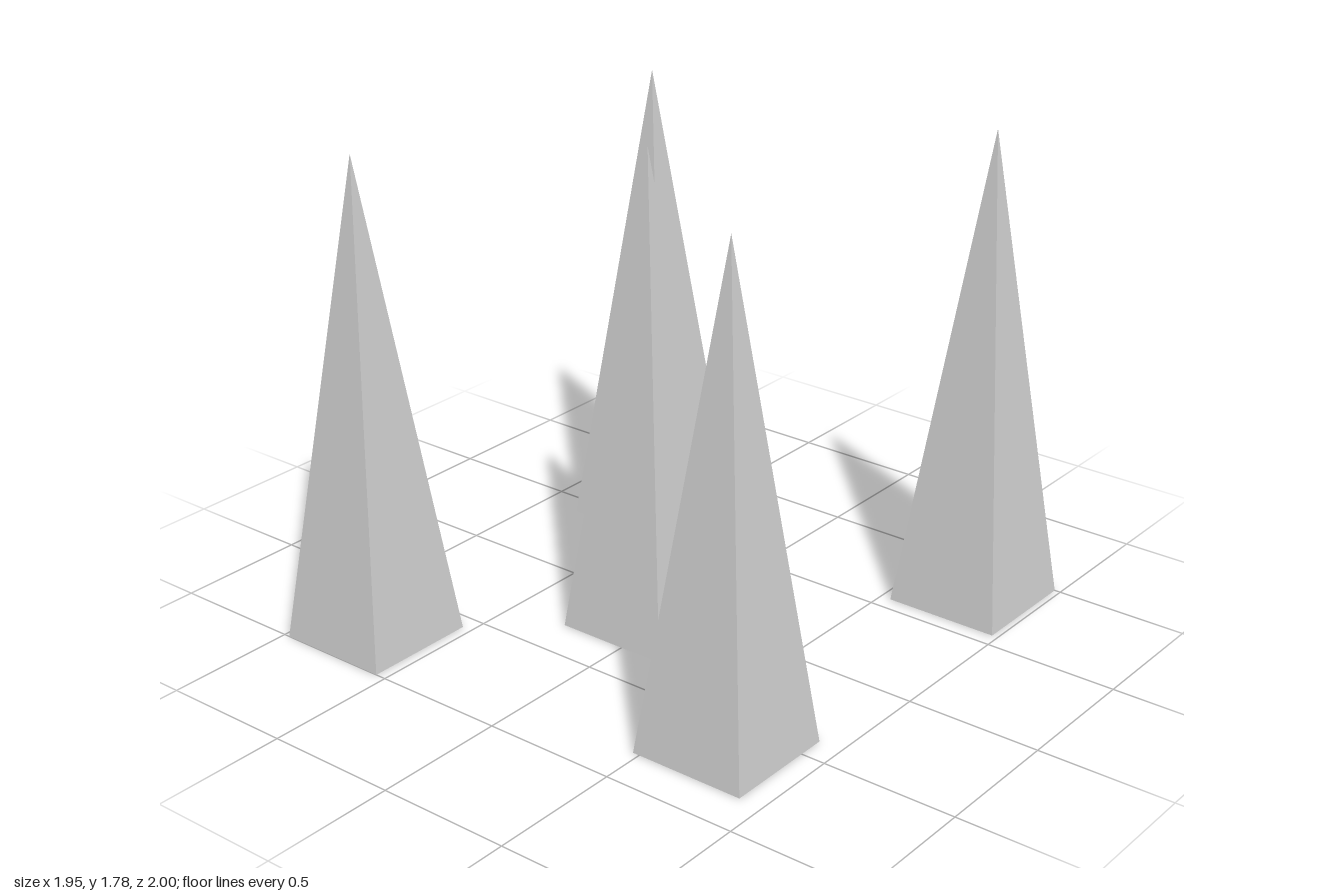
import * as THREE from 'three';

const WIDTH = 0.436;
const HEIGHT = 1.785;

// Ground positions of the spikes: [name, x, z]
const SPIKES = [
  ['backRightSpike', -0.618, -0.618],
  ['backLeftSpike', 0.759, -0.782],
  ['middleSpike', -0.047, 0.108],
  ['frontRightSpike', -0.759, 0.782],
  ['frontLeftSpike', 0.692, 0.618],
];

export function createModel() {
  const group = new THREE.Group();
  group.name = 'spikes';
  const material = new THREE.MeshStandardMaterial({ color: 0xcccccc, flatShading: true });

  // Square pyramid with its sides along x and z, standing on y = 0
  const pyramid = new THREE.ConeGeometry(WIDTH / Math.SQRT2, HEIGHT, 4, 1);
  pyramid.rotateY(Math.PI / 4);
  pyramid.translate(0, HEIGHT / 2, 0);

  for (const [name, x, z] of SPIKES) {
    const spike = new THREE.Mesh(pyramid, material);
    spike.name = name;
    spike.position.set(x, 0, z);
    group.add(spike);
  }
  return group;
}
